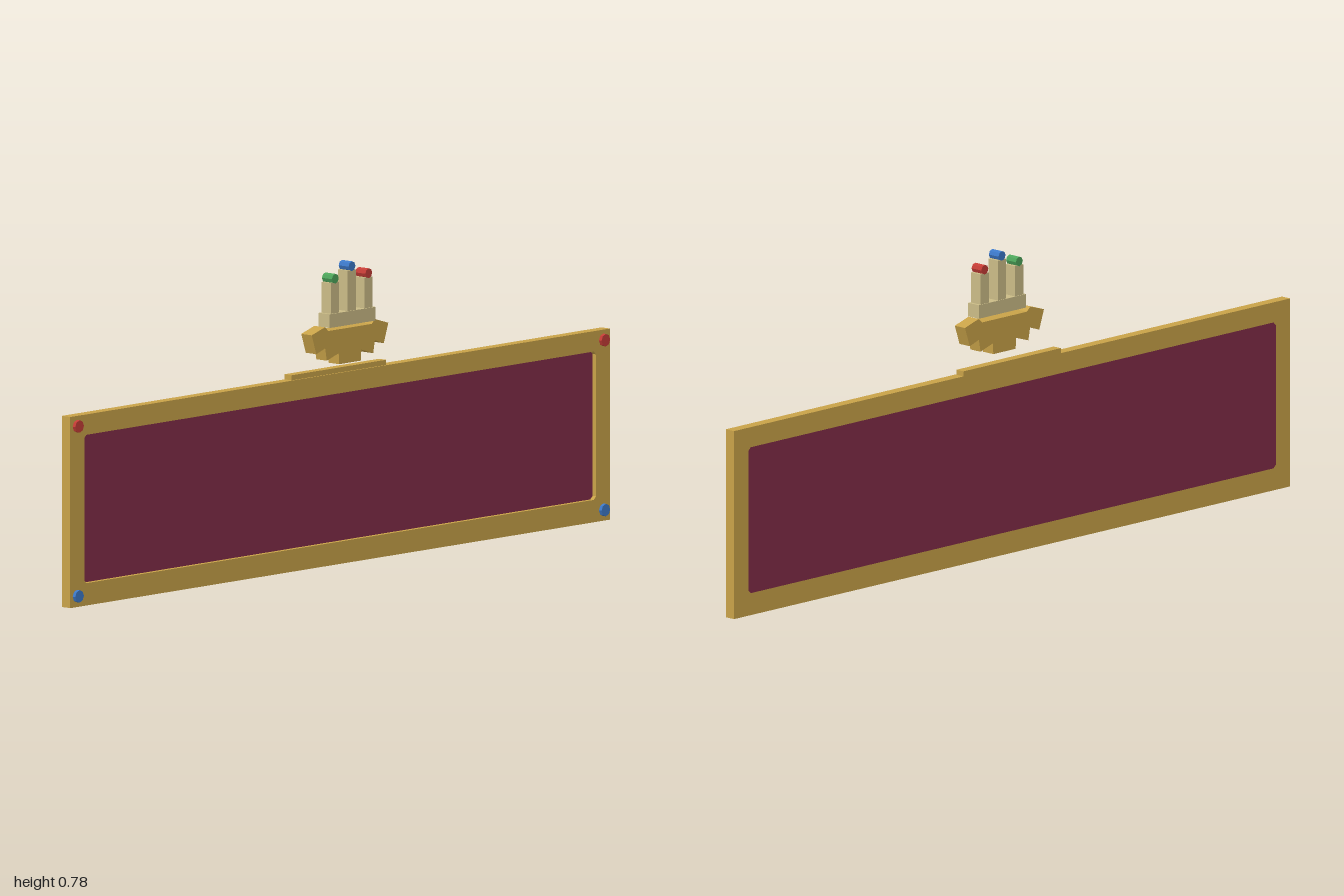
import * as THREE from 'three';

const mat = (name, color) => {
  const m = new THREE.MeshStandardMaterial({ color });
  m.name = name;
  return m;
};

export function createModel() {
  const group = new THREE.Group();
  const gold = mat('gold', 0xc8a248);
  const burgundy = mat('burgundy', 0x822c48);
  const cream = mat('cream', 0xcabb86);
  const red = mat('red', 0xc43c36);
  const blue = mat('blue', 0x3c78c8);
  const green = mat('green', 0x4ca45a);

  const add = (name, geometry, material) => {
    const mesh = new THREE.Mesh(geometry, material);
    mesh.name = name;
    group.add(mesh);
    return mesh;
  };
  // Box given by its limits
  const box = (name, x0, x1, y0, y1, z0, z1, material) =>
    add(name, new THREE.BoxGeometry(x1 - x0, y1 - y0, z1 - z0), material)
      .position.set((x0 + x1) / 2, (y0 + y1) / 2, (z0 + z1) / 2);
  // Eight-sided stud lying along z
  const stud = (name, x, y, r, z0, z1, material) => {
    const g = new THREE.CylinderGeometry(r, r, z1 - z0, 8).toNonIndexed();
    g.rotateX(Math.PI / 2);
    g.computeVertexNormals();
    add(name, g, material).position.set(x, y, (z0 + z1) / 2);
  };
  const plate = (shape, z0, z1) =>
    new THREE.ExtrudeGeometry(shape, { depth: z1 - z0, bevelEnabled: false }).translate(0, 0, z0);
  const points = (list) => list.map(([x, y]) => new THREE.Vector2(x, y));

  // Opening with slightly clipped corners
  const w = 0.948, b = 0.057, t = 0.435, c = 0.008;
  const opening = points([
    [-w + c, b], [w - c, b], [w, b + c], [w, t - c],
    [w - c, t], [-w + c, t], [-w, t - c], [-w, b + c],
  ]);

  // Sign frame and its recessed panel
  const outer = new THREE.Shape(points([[-1, 0], [1, 0], [1, 0.487], [-1, 0.487]]));
  outer.holes.push(new THREE.Path(opening));
  add('frame', plate(outer, -0.035, -0.006), gold);
  add('panel', plate(new THREE.Shape(opening), -0.035, -0.018), burgundy);
  box('topStrip', -0.175, 0.175, 0.487, 0.5, -0.035, -0.01, gold);

  // Corner studs
  for (const x of [-0.975, 0.975]) {
    stud('upperStud', x, 0.461, 0.016, -0.008, 0.003, red);
    stud('lowerStud', x, 0.028, 0.016, -0.008, 0.003, blue);
  }

  // Stepped crest, mirrored about the middle
  const half = [
    [0.04, 0.517], [0.042, 0.545], [0.086, 0.531], [0.092, 0.563],
    [0.125, 0.552], [0.142, 0.602], [0.093, 0.617], [0.08, 0.606],
  ];
  const mirrored = half.map(([x, y]) => [-x, y]).reverse();
  add('crest', plate(new THREE.Shape(points([...half, ...mirrored])), -0.008, 0.028), gold);

  // Crown bar with three tipped posts
  box('crownBar', -0.085, 0.085, 0.615, 0.65, -0.001, 0.037, cream);
  for (const [x, top, material] of [[-0.062, 0.728, green], [0, 0.753, blue], [0.062, 0.728, red]]) {
    box('crownPost', x - 0.015, x + 0.015, 0.648, top, 0.001, 0.034, cream);
    stud('crownTip', x, top + 0.01, 0.0125, 0.0005, 0.035, material);
  }
  return group;
}
